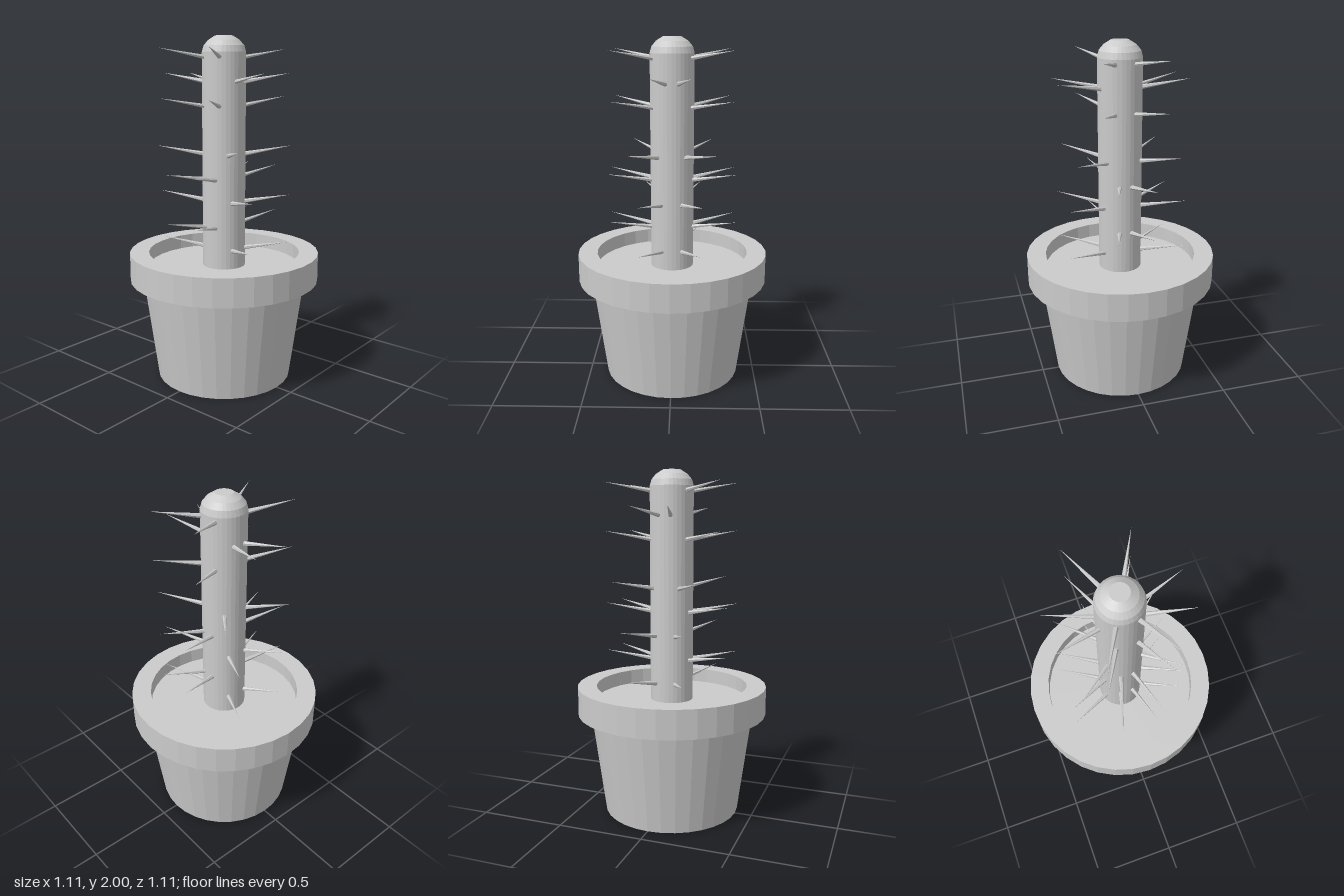
import * as THREE from 'three';

const material = new THREE.MeshStandardMaterial({ color: 0xcccccc, flatShading: true });

function lathe(name, profile) {
  const points = profile.map(([r, y]) => new THREE.Vector2(r, y));
  const mesh = new THREE.Mesh(new THREE.LatheGeometry(points, 32), material);
  mesh.name = name;
  return mesh;
}

// Straight cone running from one point to another
function spine(from, to) {
  const dir = to.clone().sub(from);
  const length = dir.length();
  const geometry = new THREE.ConeGeometry(0.014, length, 6).translate(0, length / 2, 0);
  const mesh = new THREE.Mesh(geometry, material);
  mesh.position.copy(from);
  mesh.quaternion.setFromUnitVectors(new THREE.Vector3(0, 1, 0), dir.normalize());
  mesh.name = 'spine';
  return mesh;
}

export function createModel() {
  const model = new THREE.Group();
  model.name = 'pottedCactus';

  // Tapered pot with an overhanging rim
  model.add(lathe('pot', [
    [0, 0], [0.4, 0], [0.48, 0.595], [0.557, 0.595],
    [0.557, 0.76], [0.445, 0.76], [0.445, 0.675],
  ]));
  model.add(lathe('soil', [[0.445, 0.675], [0, 0.675]]));

  // Column with a rounded, flat-tipped top
  model.add(lathe('cactusStem', [
    [0.125, 0.67], [0.125, 1.91], [0.115, 1.945], [0.09, 1.975], [0.05, 2], [0, 2],
  ]));

  // Rows of four mirrored spines: [root height, tip x, tip z]
  const rows = [
    [0.78, 0.34, 0.18], [0.915, 0.11, 0.37], [1.06, 0.34, 0.18], [1.195, 0.11, 0.37],
    [1.335, 0.3, 0.245], [1.61, 0.18, 0.34], [1.745, 0.37, 0.11], [1.88, 0.18, 0.34],
  ];
  const spines = new THREE.Group();
  spines.name = 'spines';
  for (const [y, x, z] of rows) {
    for (const sx of [-1, 1]) {
      for (const sz of [-1, 1]) {
        const tip = new THREE.Vector3(sx * x, y + 0.05, sz * z);
        const root = new THREE.Vector3(sx * x * 0.27, y, sz * z * 0.27);
        spines.add(spine(root, tip));
      }
    }
  }
  model.add(spines);

  return model;
}
